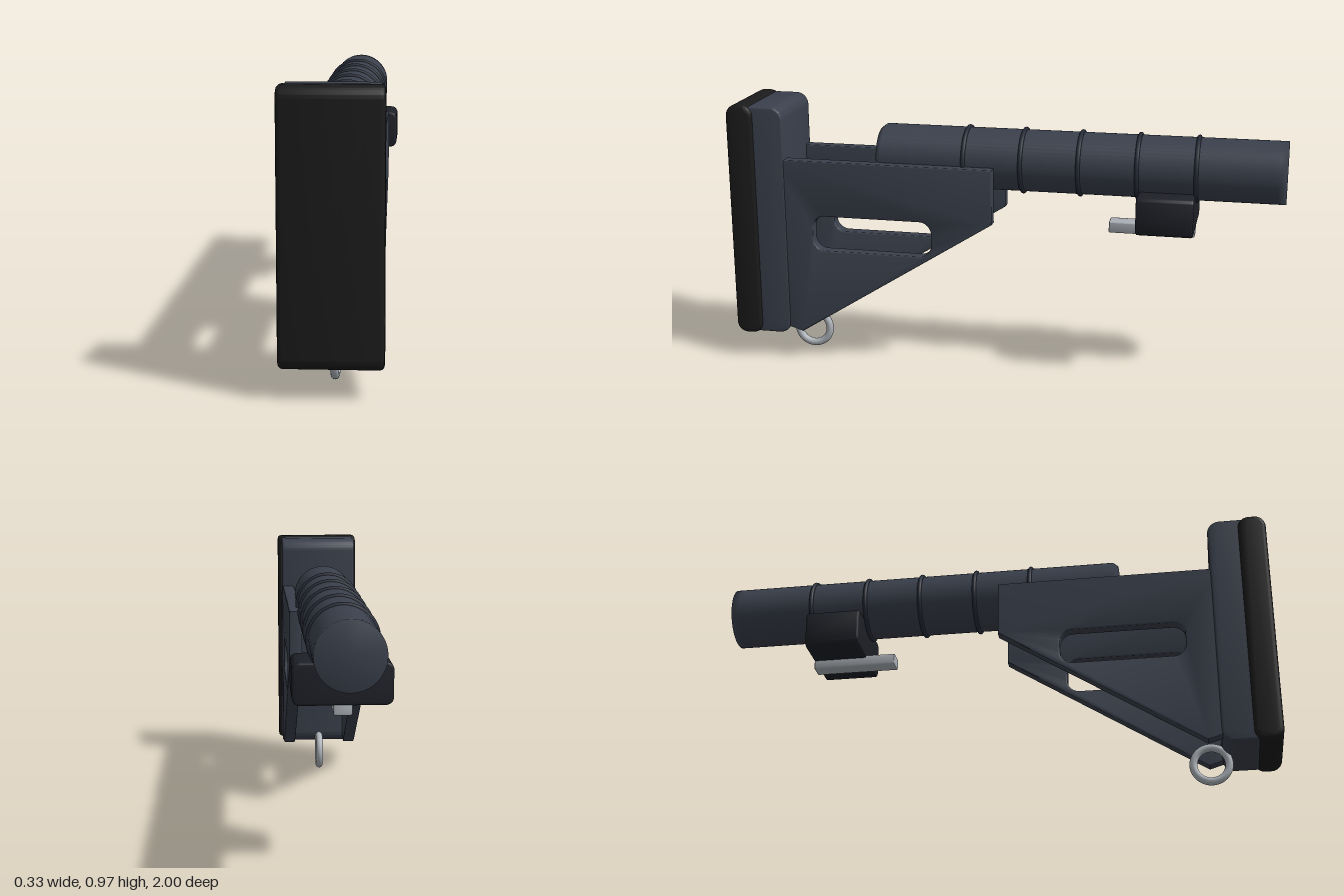
import * as THREE from 'three';
import { toCreasedNormals } from 'three/addons/utils/BufferGeometryUtils.js';

const mat = (color) => new THREE.MeshStandardMaterial({ color });
const body = mat(0x3a404c), rubber = mat(0x1b1b1c), dark = mat(0x1e2027), band = mat(0x252a36), metal = mat(0xaeb4ba);

// Rounded rectangle traced on a Shape or Path
function roundRect(p, x0, y0, x1, y1, r) {
  p.moveTo(x0 + r, y0);
  p.lineTo(x1 - r, y0);
  p.absarc(x1 - r, y0 + r, r, -Math.PI / 2, 0);
  p.lineTo(x1, y1 - r);
  p.absarc(x1 - r, y1 - r, r, 0, Math.PI / 2);
  p.lineTo(x0 + r, y1);
  p.absarc(x0 + r, y1 - r, r, Math.PI / 2, Math.PI);
  p.lineTo(x0, y0 + r);
  p.absarc(x0 + r, y0 + r, r, Math.PI, Math.PI * 1.5);
  return p;
}

// Bevelled slab, centred on its thickness
function slab(shape, thickness, bevel) {
  const geo = new THREE.ExtrudeGeometry(shape, {
    depth: thickness - 2 * bevel, bevelEnabled: true, bevelThickness: bevel,
    bevelSize: bevel, bevelOffset: -bevel, bevelSegments: 3, curveSegments: 8,
  });
  geo.translate(0, 0, bevel - thickness / 2);
  return toCreasedNormals(geo, 0.6);
}

// Slab whose outline is given as (z, y) and whose thickness runs along x
const sideSlab = (shape, thickness, bevel) => slab(shape, thickness, bevel).rotateY(-Math.PI / 2);

export function createModel() {
  const model = new THREE.Group();
  const add = (name, geo, material, x = 0, y = 0, z = 0) => {
    const mesh = new THREE.Mesh(geo, material);
    mesh.name = name;
    mesh.position.set(x, y, z);
    model.add(mesh);
  };

  // Rubber pad and the block behind it
  add('buttPad', sideSlab(roundRect(new THREE.Shape(), 0.9, 0.097, 1, 0.967, 0.04), 0.326, 0.015), rubber);
  add('padBlock', sideSlab(roundRect(new THREE.Shape(), 0.79, 0.103, 0.95, 0.962, 0.045), 0.3, 0.008), body);

  // Pair of slotted triangular side plates
  const outline = new THREE.Shape([[0.83, 0.14], [0.83, 0.77], [0.022, 0.77], [0.022, 0.57], [0.745, 0.113]]
    .map(([z, y]) => new THREE.Vector2(z, y)));
  outline.holes.push(roundRect(new THREE.Path(), 0.245, 0.435, 0.69, 0.565, 0.045));
  const plate = sideSlab(outline, 0.046, 0.005);
  for (const [name, side] of [['leftPlate', 1], ['rightPlate', -1]]) add(name, plate, body, side * 0.124);

  // Stock tube, closed at both ends
  const tubeY = 0.778, tubeR = 0.111;
  const profile = [[0, -1], [tubeR, -1], [tubeR, -0.97], [tubeR, 0.44], [0.097, 0.458], [0, 0.458]]
    .map(([r, z]) => new THREE.Vector2(r, z));
  add('stockTube', new THREE.LatheGeometry(profile, 48).rotateX(Math.PI / 2), body, 0, tubeY);

  // Evenly spaced bands round the tube
  for (let i = 0; i < 5; i++) {
    add('tubeBand' + (i + 1), new THREE.TorusGeometry(0.112, 0.008, 10, 48), band, 0, tubeY, 0.134 - i * 0.206);
  }

  // Adjustment block and its lever
  const clamp = roundRect(new THREE.Shape(), -0.163, 0.565, 0.163, 0.705, 0.025);
  add('adjusterBlock', slab(clamp, 0.2, 0.008), dark, 0, 0, -0.59);
  const lever = roundRect(new THREE.Shape(), -0.03, 0.533, 0.03, 0.575, 0.006);
  add('adjusterLever', slab(lever, 0.306, 0.004), metal, 0, 0, -0.535);

  // Sling ring under the stock
  add('slingRing', new THREE.TorusGeometry(0.062, 0.014, 14, 40).rotateY(Math.PI / 2), metal, 0, 0.077, 0.75);

  return model;
}
